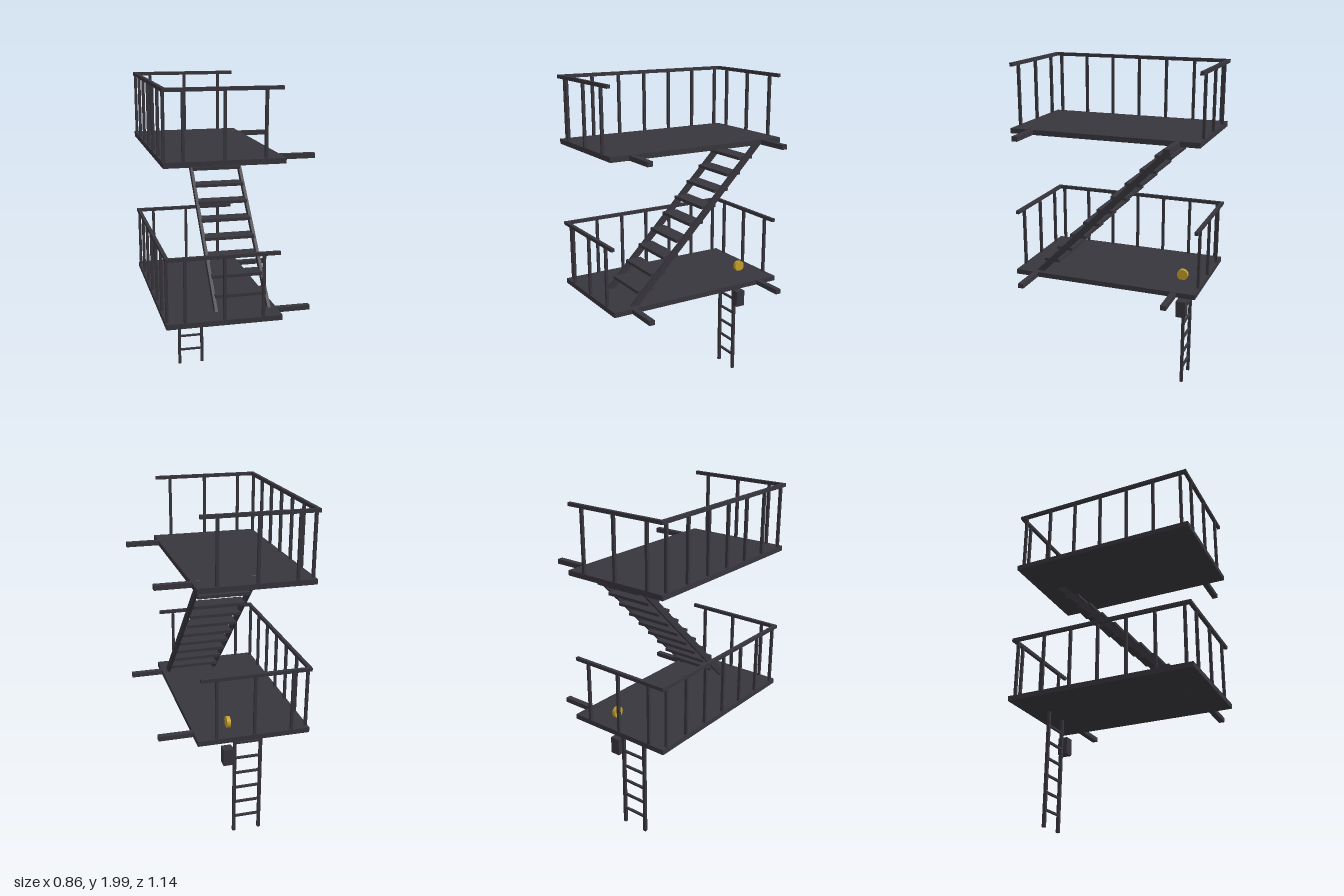
import * as THREE from 'three';

const iron = new THREE.MeshStandardMaterial({ color: 0x38363d });
iron.name = 'dark iron';
const brass = new THREE.MeshStandardMaterial({ color: 0xc9a227 });
brass.name = 'brass yellow';

// Adds a box of size (w, h, d) centred at (x, y, z)
function box(parent, name, w, h, d, x, y, z) {
  const mesh = new THREE.Mesh(new THREE.BoxGeometry(w, h, d), iron);
  mesh.name = name;
  mesh.position.set(x, y, z);
  parent.add(mesh);
  return mesh;
}

// One landing: floor, wall beams and a railing on three sides
function landing(name, y) {
  const g = new THREE.Group();
  g.name = name;
  g.position.y = y;
  box(g, 'floor', 0.66, 0.03, 1.145, -0.1, 0.015, 0);
  box(g, 'sideRail', 0.02, 0.02, 1.145, -0.42, 0.395, 0);
  for (let i = -3; i <= 3; i++) {
    box(g, 'sidePost', 0.016, 0.36, 0.016, -0.42, 0.208, i * 0.177);
  }
  for (const s of [-1, 1]) {
    box(g, 'wallBeam', 0.22, 0.028, 0.034, 0.32, 0.015, s * 0.443);
    box(g, 'endRail', 0.62, 0.02, 0.02, -0.1, 0.395, s * 0.5625);
    for (const x of [-0.323, -0.102, 0.12]) {
      box(g, 'endPost', 0.016, 0.36, 0.016, x, 0.208, s * 0.5625);
    }
  }
  return g;
}

// Stair flight rising from the lower front to the upper back
function stairs() {
  const g = new THREE.Group();
  g.name = 'stairs';
  const rise = 0.89, run = 0.88, midY = 1.152, midX = 0.034;
  for (const s of [-1, 1]) {
    const stringer = box(g, 'stringer', 0.018, 0.036, Math.hypot(rise, run) + 0.02, midX + s * 0.155, midY, 0);
    stringer.rotation.x = Math.atan2(rise, run);
  }
  for (let i = -4; i <= 4; i++) {
    box(g, 'tread', 0.3, 0.018, 0.1, midX, midY + i * 0.0885, -i * 0.0875);
  }
  return g;
}

// Drop ladder hanging below the lower landing
function ladder() {
  const g = new THREE.Group();
  g.name = 'dropLadder';
  for (const x of [-0.181, -0.023]) box(g, 'ladderRail', 0.018, 0.71, 0.018, x, 0.355, -0.44);
  for (let i = 1; i <= 6; i++) box(g, 'rung', 0.15, 0.012, 0.014, -0.102, i * 0.1015, -0.44);
  return g;
}

export function createModel() {
  const model = new THREE.Group();
  model.name = 'fireEscape';
  model.add(landing('lowerLanding', 0.695), landing('upperLanding', 1.585), stairs(), ladder());

  // Counterweight and its pulley wheel
  box(model, 'counterweight', 0.06, 0.104, 0.06, 0.022, 0.534, -0.44);
  const pulley = new THREE.Mesh(new THREE.CylinderGeometry(0.034, 0.034, 0.022, 16), brass);
  pulley.name = 'pulley';
  pulley.rotation.z = Math.PI / 2;
  pulley.position.set(0.021, 0.755, -0.44);
  model.add(pulley);
  return model;
}
